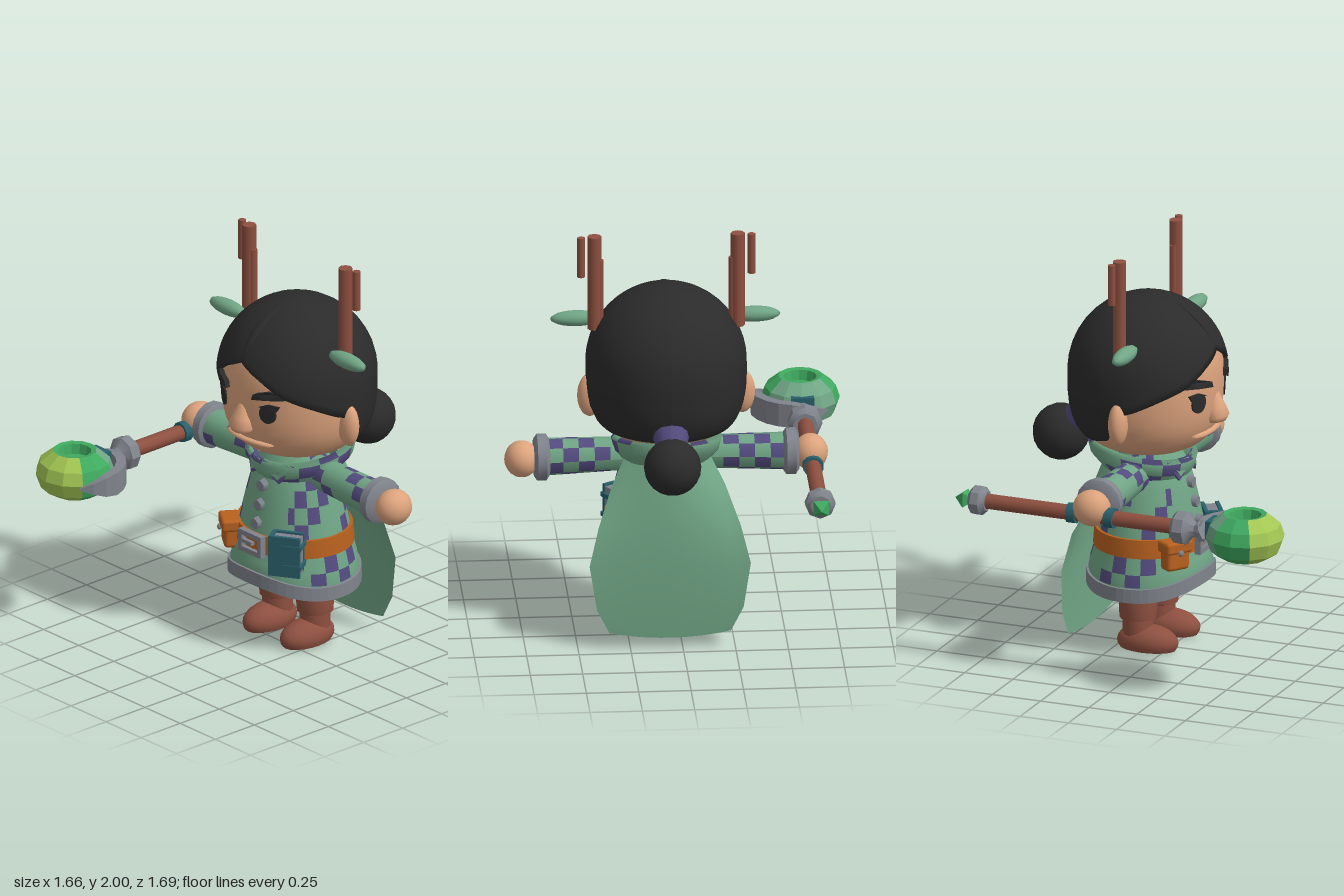
import * as THREE from 'three';
import { toCreasedNormals } from 'three/addons/utils/BufferGeometryUtils.js';
import { RoundedBoxGeometry } from 'three/addons/geometries/RoundedBoxGeometry.js';

const mat = (name, color, side = THREE.FrontSide) => {
  const m = new THREE.MeshStandardMaterial({ color, side });
  m.name = name;
  return m;
};

export function createModel() {
  const D = THREE.DoubleSide;
  const hair = mat('black hair', 0x2b2b2b, D), skin = mat('skin', 0xdda37d);
  const green = mat('sage cloth', 0x70a585, D), purple = mat('purple cloth', 0x544c80, D);
  const brown = mat('brown leather', 0x8e5040), grey = mat('grey metal', 0x80848c, D);
  const orange = mat('orange leather', 0xb9611f), teal = mat('teal', 0x2a606c);
  const lime = mat('lime', 0xa2c653), bright = mat('bright green', 0x3fa95f);

  const root = new THREE.Group(), body = new THREE.Group();
  root.name = 'forestMage';
  body.name = 'character';
  body.position.x = 0.06;
  root.add(body);

  const add = (name, geo, m, x = 0, y = 0, z = 0, parent = body) => {
    const mesh = new THREE.Mesh(geo, m);
    mesh.name = name;
    mesh.position.set(x, y, z);
    parent.add(mesh);
    return mesh;
  };
  const ball = (rx, ry, rz, w = 20, h = 14) => new THREE.SphereGeometry(1, w, h).scale(rx, ry, rz);
  const lathe = (pts, n = 16) => toCreasedNormals(new THREE.LatheGeometry(pts.map(p => new THREE.Vector2(...p)), n), 0.6);
  const polygon = pts => new THREE.Shape(pts.map(p => new THREE.Vector2(...p)));

  // Sheet of quads from a rule; pick(i, j) chooses a material index per quad
  const grid = (nu, nv, fn, pick = () => 0, flat = false) => {
    const pos = [], lists = [[], [], []];
    for (let j = 0; j <= nv; j++) for (let i = 0; i <= nu; i++) pos.push(...fn(i / nu, j / nv, j));
    for (let j = 0; j < nv; j++) for (let i = 0; i < nu; i++) {
      const a = j * (nu + 1) + i, d = a + nu + 1;
      lists[pick(i, j)].push(a, a + 1, d + 1, a, d + 1, d);
    }
    let g = new THREE.BufferGeometry();
    g.setAttribute('position', new THREE.Float32BufferAttribute(pos, 3));
    g.setIndex(lists.flat());
    let start = 0;
    lists.forEach((l, k) => { if (l.length) g.addGroup(start, l.length, k); start += l.length; });
    if (flat) g = g.toNonIndexed();
    g.computeVertexNormals();
    return g;
  };
  const around = u => (u * 2 - 1) * Math.PI;
  const checker = (i, j) => {
    const k = Math.floor(i / 2);
    return (k + j) % 2 === 0 && (k * 7 + j * 5) % 3 !== 0 ? 1 : 0;
  };

  // Head: round on top, squarer towards the jaw
  const HY = 1.355, HZ = -0.145;
  const headR = (y, R) => {
    const t = Math.min(1, Math.abs(y - HY) / 0.385), p = y > HY ? 2 : 3.2;
    return R * Math.pow(1 - Math.pow(t, p), 1 / p);
  };
  add('head', grid(32, 20, (u, v) => {
    const y = HY + 0.37 * Math.sin((v - 0.5) * Math.PI) - (v < 0.5 ? 0.015 * (1 - 2 * v) : 0);
    const r = v === 0 ? 0 : headR(y, 0.362), a = around(u);
    return [r * Math.sin(a), y, HZ + r * Math.cos(a)];
  }), skin);

  // Hair cap with a hairline that drops from the parting to behind the ears
  const line = [[0, 1.5], [20, 1.44], [39, 1.365], [60, 1.31], [80, 1.25], [92, 1.23], [100, 1.09], [120, 1.06], [180, 1.055]];
  const hairline = a => {
    const d = Math.min(179.99, Math.abs(a) * 180 / Math.PI);
    const k = line.findIndex(p => p[0] > d), [d0, y0] = line[k - 1], [d1, y1] = line[k];
    return y0 + (y1 - y0) * (d - d0) / (d1 - d0);
  };
  add('hair', grid(56, 17, (u, v, j) => {
    const a = around(u), t0 = Math.asin((hairline(a) - HY) / 0.385);
    const t = t0 + (Math.PI / 2 - t0) * Math.max(0, j - 1) / 16, y = HY + 0.385 * Math.sin(t);
    const r = j === 17 ? 0 : headR(y, j === 0 ? 0.35 : 0.385);
    return [r * Math.sin(a), y, HZ + r * Math.cos(a)];
  }), hair);
  add('hairParting', grid(8, 12, (u, v) => {
    const a = 0.4 + v * 0.95, w = Math.sin(v * Math.PI), b = u * Math.PI * 2;
    const r = 0.382 + 0.012 * w * Math.sin(b);
    return [0.026 * w * Math.cos(b), HY + r * Math.sin(a), HZ + r * Math.cos(a)];
  }), hair);
  add('hairBun', new THREE.IcosahedronGeometry(0.137, 3), hair, 0, 0.985, -0.595);
  add('hairTie', new THREE.CylinderGeometry(0.09, 0.075, 0.07, 12), purple, 0, 1.08, -0.49).rotation.x = 0.85;

  // Face details bent onto the head
  const onFace = (name, shape, depth, m, lift = 0) => {
    const g = new THREE.ExtrudeGeometry(shape, { depth, bevelEnabled: false, curveSegments: 10 });
    const p = g.attributes.position;
    for (let i = 0; i < p.count; i++) {
      const x = p.getX(i), r = headR(p.getY(i), 0.362);
      p.setZ(i, p.getZ(i) + HZ + lift + Math.sqrt(r * r - x * x));
    }
    g.computeVertexNormals();
    add(name, g, m);
  };
  for (const s of [-1, 1]) {
    const eye = new THREE.Shape();
    eye.absellipse(s * 0.155, 1.272, 0.038, 0.048, 0, Math.PI * 2);
    onFace('eye', eye, 0.008, hair);
    onFace('eyelash', polygon([[s * 0.115, 1.305], [s * 0.16, 1.325], [s * 0.21, 1.318], [s * 0.195, 1.29], [s * 0.155, 1.3]]), 0.009, hair, 0.001);
    onFace('eyebrow', polygon([[s * 0.09, 1.342], [s * 0.1, 1.372], [s * 0.17, 1.395], [s * 0.225, 1.39], [s * 0.24, 1.36], [s * 0.17, 1.352]]), 0.035, hair, -0.008);
    add('ear', ball(0.06, 0.107, 0.046), skin, s * 0.365, 1.19, HZ);
  }
  const nose = new THREE.LatheGeometry([[0, -0.075], [0.05, -0.07], [0.07, -0.045], [0.055, 0], [0.025, 0.07], [0, 0.095]].map(p => new THREE.Vector2(...p)), 12);
  add('nose', nose.scale(1, 1, 0.85), skin, 0, 1.215, 0.205).rotation.x = -0.12;
  add('mouth', ball(0.16, 0.018, 0.055, 16, 6), skin, 0, 1.095, 0.15);

  // Antlers and leaf ornaments
  const post = (x, y0, y1, r, z) => add('antler', new THREE.CylinderGeometry(r, r, y1 - y0, 8), brown, x, (y0 + y1) / 2, z);
  for (const s of [-1, 1]) {
    post(s * 0.342, 1.53, 2, 0.034, -0.147);
    post(s * 0.318, 1.56, 1.88, 0.02, -0.15);
    post(s * 0.407, 1.8, 2, 0.019, -0.16);
    add('antlerLeaf', ball(0.125, 0.038, 0.042, 12, 10), green, s * 0.425, 1.56, -0.085);
  }

  // Tunic, with an arched hem and scattered checks away from the front panel
  const BZ = -0.13, ZS = 0.9;
  const tunic = [[0.33, 0], [0.3, 0.325], [0.36, 0.325], [0.42, 0.315], [0.5, 0.295], [0.58, 0.28], [0.66, 0.262], [0.74, 0.243], [0.82, 0.222], [0.9, 0.192], [0.98, 0.14]];
  const ring = rows => (u, v, j) => {
    const a = around(u), [y, r] = rows[j], c = Math.cos(a);
    const lift = (c > 0 ? 0.055 : 0.03) * Math.abs(c) ** 3 * Math.max(0, Math.min(1, (0.5 - y) / 0.12));
    return [r * Math.sin(a), y + lift, BZ + r * ZS * c];
  };
  add('tunic', grid(48, 10, ring(tunic), (i, j) => Math.abs(i - 23.5) < 5 || j < 2 ? 0 : checker(i, j)), [green, purple]);
  add('tunicHem', grid(48, 4, ring([[0.285, 0.3], [0.287, 0.338], [0.355, 0.337], [0.358, 0.3], [0.285, 0.3]]), undefined, true), grey);
  [0.82, 0.725, 0.635].forEach((y, i) =>
    add('button', new THREE.CylinderGeometry(0.028, 0.034, 0.03, 6).rotateX(Math.PI / 2), grey, 0, y, 0.078 + i * 0.019));

  // Collar, rising towards the back
  const collar = [[0.86, 0.2], [0.92, 0.25], [0.98, 0.265], [1.0, 0.24], [0.94, 0.2]];
  add('collar', grid(32, 4, (u, v, j) => {
    const a = around(u), [y, r] = collar[j];
    return [r * Math.sin(a), y - 0.045 * Math.cos(a), -0.175 + r * Math.cos(a)];
  }, (i, j) => checker(i, j + 1)), [green, purple]);
  for (const s of [-1, 1]) {
    const flap = (name, pts, m, z) => add(name, new THREE.ExtrudeGeometry(polygon(pts.map(([x, y]) => [s * x, y])), { depth: 0.012, bevelEnabled: false }), m, 0, 0.9, z).rotation.set(-0.15, s * 0.3, 0);
    flap('collarFlapTrim', [[0, 0.05], [0.02, 0.0], [0.1, -0.045], [0.17, 0.06]], purple, 0.072);
    flap('collarFlap', [[0.02, 0.05], [0.03, 0.01], [0.095, -0.025], [0.15, 0.06]], green, 0.078);
  }

  // Cape: broad sheet that curls forward at the shoulders
  const cape = [[0.05, 0.29, -0.435, 0], [0.2, 0.35, -0.44, 0], [0.42, 0.385, -0.44, 0.01], [0.6, 0.34, -0.425, 0.03], [0.78, 0.27, -0.4, 0.1], [0.93, 0.19, -0.35, 0.13]];
  add('cape', grid(12, 5, (u, v, j) => {
    const [y, w, z, curl] = cape[j], k = 1 - 2 * u;
    return [w * k, y + (j === 0 ? 0.03 * k * k : 0), z + curl * k * k];
  }), green);

  // Belt, buckle, pouch and book
  const belt = lathe([[0.27, 0.5], [0.302, 0.5], [0.294, 0.59], [0.26, 0.59]], 32).scale(1, 1, ZS);
  add('belt', belt, orange, 0, 0, BZ);
  const frame = polygon([[-0.08, -0.055], [0.08, -0.055], [0.08, 0.055], [-0.08, 0.055]]);
  frame.holes.push(new THREE.Path([[-0.055, -0.03], [-0.055, 0.03], [0.055, 0.03], [0.055, -0.03]].map(p => new THREE.Vector2(...p))));
  add('buckle', new THREE.ExtrudeGeometry(frame, { depth: 0.03, bevelEnabled: false }), grey, 0, 0.54, 0.13);
  add('bucklePin', new THREE.BoxGeometry(0.075, 0.018, 0.02), grey, -0.025, 0.54, 0.15);
  const kit = (name, x, y, z, turn) => {
    const g = new THREE.Group();
    g.name = name;
    g.position.set(x, y, z);
    g.rotation.y = turn;
    body.add(g);
    return g;
  };
  const pouch = kit('pouch', -0.215, 0.52, 0.085, -0.6);
  add('pouchBag', new RoundedBoxGeometry(0.125, 0.125, 0.08, 2, 0.02), orange, 0, -0.01, 0, pouch);
  add('pouchFlap', new RoundedBoxGeometry(0.145, 0.06, 0.1, 2, 0.015), orange, 0, 0.045, 0.003, pouch);
  add('pouchStud', ball(0.016, 0.016, 0.012, 8, 6), grey, 0, 0.02, 0.055, pouch);
  const book = kit('book', 0.2, 0.535, 0.1, 0.55);
  for (const z of [-0.036, 0.036]) add('bookCover', new THREE.BoxGeometry(0.15, 0.205, 0.018), teal, 0, 0, z, book);
  add('bookPages', new THREE.BoxGeometry(0.135, 0.185, 0.056), grey, 0.004, 0, 0, book);
  add('bookSpine', new THREE.BoxGeometry(0.02, 0.205, 0.088), teal, -0.07, 0, 0, book);
  for (const y of [-0.05, 0.05]) add('bookStrap', new THREE.BoxGeometry(0.1, 0.022, 0.1), teal, 0.033, y, 0, book);

  // Arms, legs and boots
  for (const s of [-1, 1]) {
    add('sleeve', grid(16, 6, (u, v) => {
      const a = around(u), r = 0.078 + 0.012 * v;
      return [s * (0.12 + 0.45 * v), 0.885 - 0.01 * v - s * r * Math.sin(a), -0.135 + r * Math.cos(a)];
    }, (i, j) => (j === 0 ? 0 : checker(i, j))), [green, purple]);
    add('cuff', lathe([[0, -0.037], [0.09, -0.037], [0.113, -0.022], [0.113, 0.022], [0.09, 0.037], [0, 0.037]], 14).rotateZ(Math.PI / 2), grey, s * 0.595, 0.875, -0.14);
    add('hand', ball(0.083, 0.088, 0.093, 16, 12), skin, s * 0.69, 0.87, -0.143);
    add('trouserLeg', new THREE.CylinderGeometry(0.09, 0.078, 0.18, 14), green, s * 0.133, 0.31, -0.14);
    add('bootShaft', lathe([[0, 0.03], [0.075, 0.05], [0.074, 0.15], [0.088, 0.155], [0.092, 0.2], [0.09, 0.258], [0, 0.26]], 14), brown, s * 0.133, 0, -0.14);
    const foot = ball(0.092, 0.082, 0.155, 20, 14), p = foot.attributes.position;
    for (let i = 0; i < p.count; i++) p.setY(i, Math.max(-0.04, p.getY(i)));
    foot.computeVertexNormals();
    add('bootFoot', toCreasedNormals(foot, 0.7), brown, s * 0.133, 0.04, -0.09);
  }

  // Staff, lying along z through the right hand
  const staff = new THREE.Group();
  staff.name = 'staff';
  staff.position.set(-0.635, 0.835, 0);
  root.add(staff);
  const rod = (name, r, z0, z1, m) => add(name, new THREE.CylinderGeometry(r, r, z1 - z0, 10).rotateX(Math.PI / 2), m, 0, 0, (z0 + z1) / 2, staff);
  rod('shaft', 0.038, -0.7, 0.32, brown);
  rod('gripBand', 0.05, -0.26, -0.215, teal);
  rod('gripBand', 0.05, -0.065, -0.02, teal);
  const turned = (name, pts) => add(name, lathe(pts, 8).rotateX(Math.PI / 2), grey, 0, 0, 0, staff);
  turned('endCap', [[0, -0.765], [0.05, -0.765], [0.073, -0.745], [0.073, -0.705], [0.05, -0.68], [0, -0.68]]);
  turned('headKnob', [[0, 0.285], [0.06, 0.285], [0.083, 0.305], [0.083, 0.355], [0.045, 0.38], [0.035, 0.4], [0.055, 0.44], [0, 0.47]]);
  add('endGem', new THREE.OctahedronGeometry(0.052).rotateZ(Math.PI / 4), bright, 0, 0, -0.795, staff);

  // Orb: squashed faceted bowl with a recessed top, tinted from back to front
  const orb = [[0, -0.115], [0.1, -0.11], [0.165, -0.07], [0.19, 0], [0.17, 0.06], [0.105, 0.113], [0.08, 0.108], [0.07, 0.06], [0, 0.055]];
  add('orb', grid(12, 8, (u, v, j) => {
    const [r, y] = orb[j], a = around(u);
    return [r * Math.sin(a), y, r * Math.cos(a)];
  }, (i, j) => {
    const c = Math.cos(around((i + 0.5) / 12));
    return j > 4 ? 1 : c > 0.6 ? 2 : c > -0.4 ? 1 : 0;
  }, true), [green, bright, lime], 0, 0, 0.653, staff);
  add('orbSocket', new THREE.BoxGeometry(0.11, 0.09, 0.06), teal, 0, 0.02, 0.498, staff);

  // Crescent claw holding the orb
  add('claw', grid(4, 10, (u, v) => {
    const k = Math.round(u * 4) % 4, a = -0.62 + v * 2.8;
    const w = Math.min(1, 0.08 + 1.25 * Math.sin(v * Math.PI)), h = (k === 1 || k === 2 ? 1 : -1) * 0.058 * w;
    const r = k < 2 ? 0.205 + 0.04 * w : 0.198;
    return [r * Math.sin(a), h, -r * Math.cos(a)];
  }, undefined, true), grey, 0, -0.005, 0.653, staff);

  return root;
}
